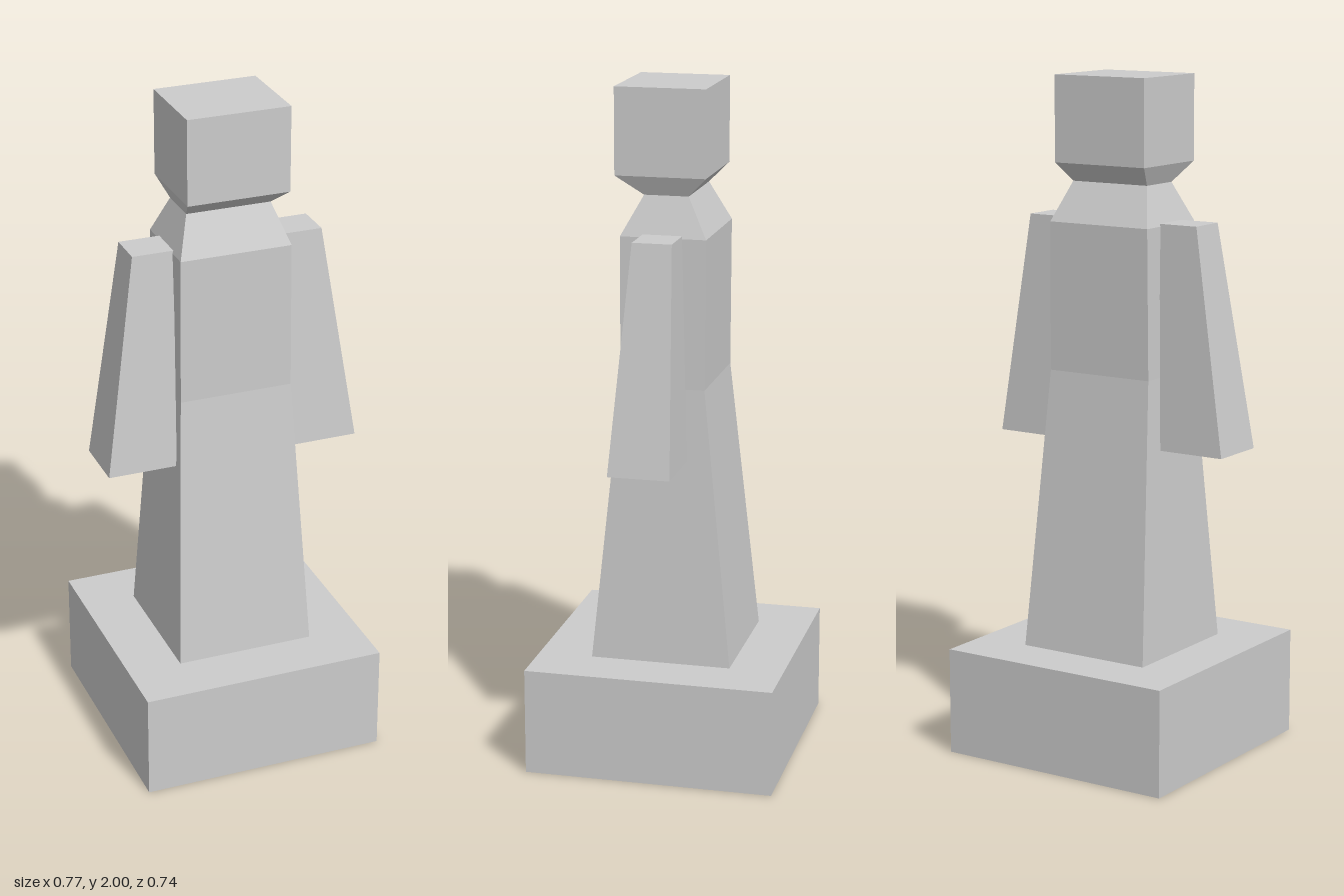
import * as THREE from 'three';

const material = new THREE.MeshStandardMaterial({ color: 0xcccccc, flatShading: true });

// Capped loft through rectangular sections [y, xMin, xMax, zMin, zMax], bottom to top
function loft(name, sections) {
  const corners = sections.map(([y, x0, x1, z0, z1]) => [
    [x0, y, z1], [x1, y, z1], [x1, y, z0], [x0, y, z0],
  ]);
  const positions = [];
  const quad = (a, b, c, d) => positions.push(...a, ...b, ...c, ...a, ...c, ...d);
  for (let s = 0; s < corners.length - 1; s++) {
    const low = corners[s], high = corners[s + 1];
    for (let i = 0; i < 4; i++) {
      const j = (i + 1) % 4;
      quad(low[i], low[j], high[j], high[i]);
    }
  }
  const bottom = corners[0], top = corners[corners.length - 1];
  quad(bottom[3], bottom[2], bottom[1], bottom[0]);
  quad(top[0], top[1], top[2], top[3]);

  const geometry = new THREE.BufferGeometry();
  geometry.setAttribute('position', new THREE.Float32BufferAttribute(positions, 3));
  geometry.computeVertexNormals();
  const mesh = new THREE.Mesh(geometry, material);
  mesh.name = name;
  return mesh;
}

export function createModel() {
  const model = new THREE.Group();
  model.name = 'statue';

  // Square plinth
  const plinth = new THREE.Mesh(new THREE.BoxGeometry(0.737, 0.317, 0.737), material);
  plinth.name = 'plinth';
  plinth.position.y = 0.1585;
  model.add(plinth);

  // Flared robe, chest, sloping shoulders, neck and head in one continuous shape
  model.add(loft('bodyAndHead', [
    [0.317, -0.208, 0.208, -0.208, 0.208],
    [1.14, -0.17, 0.17, -0.122, 0.126],
    [1.577, -0.167, 0.167, -0.125, 0.126],
    [1.692, -0.127, 0.127, -0.065, 0.065],
    [1.748, -0.153, 0.153, -0.12, 0.145],
    [2.0, -0.153, 0.153, -0.12, 0.145],
  ]));

  // Hanging sleeves, widening downward
  for (const [name, side] of [['leftArm', 1], ['rightArm', -1]]) {
    const span = (inner, outer) => (side > 0 ? [inner, outer] : [-outer, -inner]);
    model.add(loft(name, [
      [0.929, ...span(0.178, 0.385), -0.072, 0.11],
      [1.585, ...span(0.164, 0.287), -0.055, 0.06],
    ]));
  }

  return model;
}
